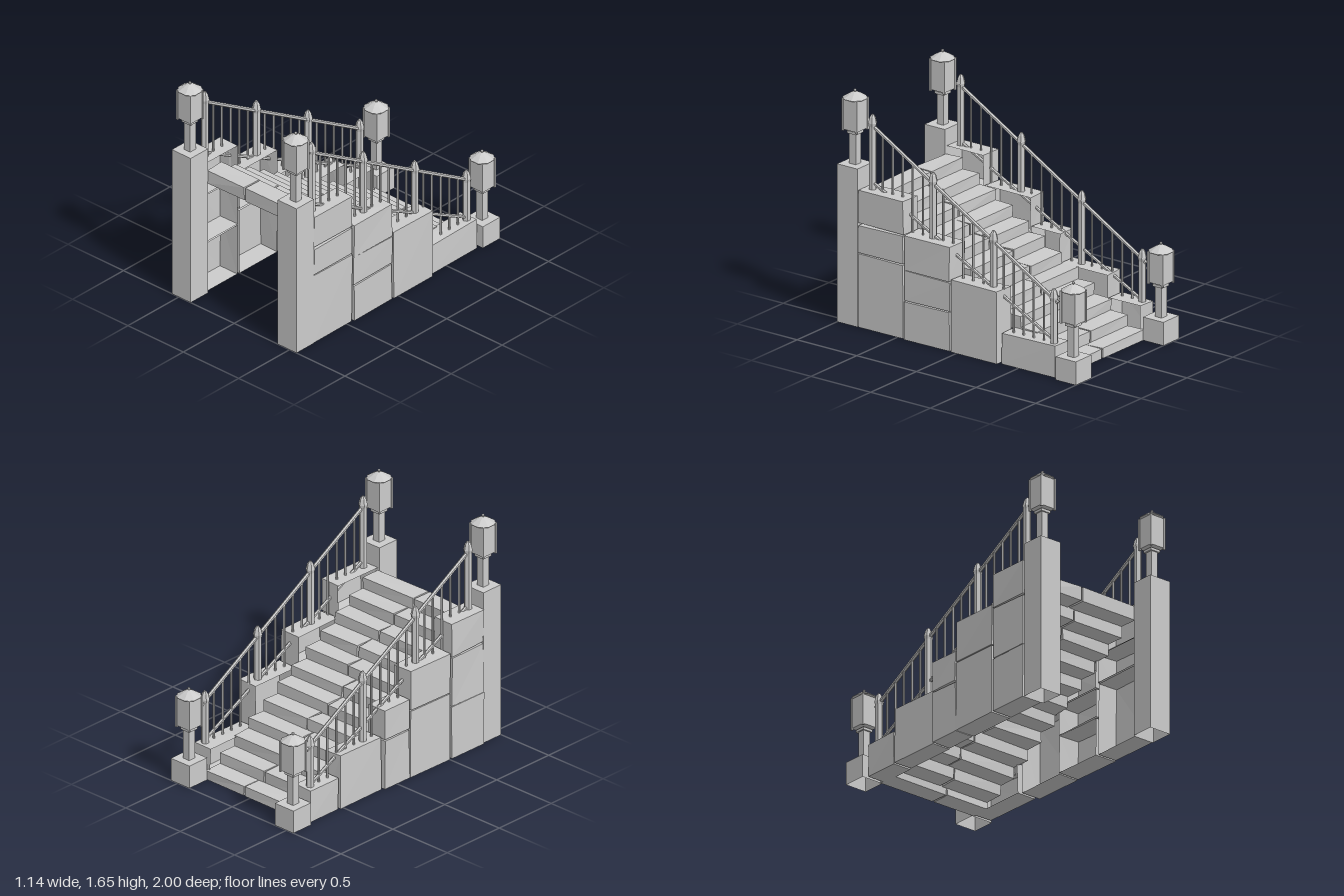
import * as THREE from 'three';

const mat = new THREE.MeshStandardMaterial({ color: 0xcccccc, flatShading: true, side: THREE.DoubleSide });

let seed = 7;
const rand = () => ((seed = (seed * 16807) % 2147483647) / 2147483647) * 2 - 1;

function add(parent, geo, name, x = 0, y = 0, z = 0) {
  const m = new THREE.Mesh(geo, mat);
  m.name = name;
  m.position.set(x, y, z);
  parent.add(m);
  return m;
}

// Box from min/max corners; each corner is nudged a little, one face may be left open.
// Face order: 0 +x, 1 -x, 2 +y, 3 -y, 4 +z, 5 -z
function stone(parent, name, [x0, x1], [y0, y1], [z0, z1], jitter = 0, open = -1) {
  const geo = new THREE.BoxGeometry(x1 - x0, y1 - y0, z1 - z0);
  const offsets = Array.from({ length: 8 }, () => [rand() * jitter, rand() * jitter, rand() * jitter]);
  const p = geo.attributes.position;
  for (let i = 0; i < p.count; i++) {
    const x = p.getX(i), y = p.getY(i), z = p.getZ(i);
    const o = offsets[(x > 0 ? 1 : 0) + (y > 0 ? 2 : 0) + (z > 0 ? 4 : 0)];
    const lift = y < 0 && y0 === 0 ? 0 : o[1];
    p.setXYZ(i, x + o[0], y + lift, z + o[2]);
  }
  if (open >= 0) geo.setIndex([...geo.index.array].filter((_, i) => Math.floor(i / 6) !== open));
  geo.computeVertexNormals();
  return add(parent, geo, name, (x0 + x1) / 2, (y0 + y1) / 2, (z0 + z1) / 2);
}

// Round bar between two points
function bar(parent, name, a, b, radius, sides = 6) {
  const geo = new THREE.CylinderGeometry(radius, radius, a.distanceTo(b), sides);
  const m = add(parent, geo, name);
  m.position.copy(a).lerp(b, 0.5);
  m.quaternion.setFromUnitVectors(new THREE.Vector3(0, 1, 0), b.clone().sub(a).normalize());
  return m;
}

const lathe = (pts, sides, phase = 0) =>
  new THREE.LatheGeometry(pts.map(([r, y]) => new THREE.Vector2(r, y)), sides, phase);

// Square prism with cut corners, standing on y = 0
function chamferedPrism(half, cut, height) {
  const c = half - cut;
  const s = new THREE.Shape([[half, -c], [half, c], [c, half], [-c, half], [-half, c], [-half, -c], [-c, -half], [c, -half]]
    .map(([x, y]) => new THREE.Vector2(x, y)));
  return new THREE.ExtrudeGeometry(s, { depth: height, bevelEnabled: false }).rotateX(-Math.PI / 2);
}

function lantern() {
  const g = new THREE.Group();
  g.name = 'lantern';
  add(g, new THREE.BoxGeometry(0.055, 0.22, 0.055), 'lanternShaft', 0, 0.11, 0);
  add(g, new THREE.BoxGeometry(0.078, 0.018, 0.078), 'lanternCollar', 0, 0.224, 0);
  add(g, chamferedPrism(0.06, 0.006, 0.215), 'lanternBody', 0, 0.245, 0);
  for (const sx of [-1, 1]) for (const sz of [-1, 1])
    add(g, new THREE.BoxGeometry(0.014, 0.23, 0.014), 'lanternCornerStrip', sx * 0.058, 0.35, sz * 0.058);
  add(g, lathe([[0, 0.455], [0.086, 0.462], [0.086, 0.466], [0.045, 0.492], [0.014, 0.508], [0, 0.51]], 8, Math.PI / 8), 'lanternRoof');
  add(g, new THREE.SphereGeometry(0.011, 8, 6), 'lanternFinial', 0, 0.517, 0);
  return g;
}

// Wall columns: side, inner and outer |x|, z range, heights of the stone joints
const columns = [
  [1, 0.405, 0.56, 0.45, 0.825, [0, 0.53, 0.735, 0.97]],
  [1, 0.395, 0.563, 0.06, 0.437, [0, 0.28, 0.495, 0.74]],
  [1, 0.41, 0.563, -0.34, 0.045, [0, 0.51]],
  [1, 0.388, 0.536, -0.805, -0.36, [0, 0.22]],
  [-1, 0.41, 0.57, 0.52, 0.825, [0, 0.39, 0.76, 1.0]],
  [-1, 0.41, 0.566, 0.13, 0.505, [0, 0.5, 0.79]],
  [-1, 0.41, 0.563, -0.115, 0.12, [0, 0.37, 0.585]],
  [-1, 0.4, 0.543, -0.525, -0.13, [0, 0.39]],
  [-1, 0.395, 0.538, -0.805, -0.54, [0, 0.235]],
];
const wallTop = (side, z) => {
  const near = columns.filter(c => c[0] === side)
    .sort((a, b) => Math.abs((a[3] + a[4]) / 2 - z) - (a[4] - a[3]) / 2 - Math.abs((b[3] + b[4]) / 2 - z) + (b[4] - b[3]) / 2)[0];
  return near[5][near[5].length - 1];
};

function railing(side) {
  const g = new THREE.Group();
  g.name = side > 0 ? 'leftRailing' : 'rightRailing';
  const x = side * 0.482;
  const at = (y, z) => new THREE.Vector3(x, y, z);
  const railY = z => 0.975 + 0.583 * z;
  bar(g, 'handrail', at(railY(-0.79), -0.79), at(railY(0.79), 0.79), 0.0135);
  bar(g, 'lowerRail', at(0.235, -0.77), at(1.02, 0.76), 0.012);
  for (let i = 0; i < 4; i++) {
    const z = 0.765 - i * 0.507, base = wallTop(side, z) - 0.02, top = 1.5 - i * 0.298;
    // Newel post with a pointed, slightly swollen cap
    add(g, lathe([[0, base], [0.027, base], [0.027, top - 0.085], [0.032, top - 0.06], [0.022, top - 0.02], [0.009, top], [0, top]], 6),
      'newelPost', x, 0, z);
    if (i < 3) for (let k = 1; k <= 5; k++) {
      const bz = z - k * 0.507 / 6;
      bar(g, 'baluster', at(wallTop(side, bz) - 0.01, bz), at(railY(bz), bz), 0.0085);
    }
  }
  return g;
}

export function createModel() {
  const model = new THREE.Group();
  model.name = 'stoneStaircase';

  // Steps, each of two slabs with a wandering joint
  const steps = new THREE.Group();
  steps.name = 'steps';
  const joints = [0.05, 0, -0.06, -0.06, 0, -0.06, -0.06, 0.02, 0.06, 0, -0.01, -0.06];
  joints.forEach((j, i) => {
    const y = [Math.max(0, 0.08 * i - 0.03), 0.08 * i + 0.07];
    const z = [-0.83 + i * 0.138, -0.83 + (i + 1) * 0.138 + 0.004];
    stone(steps, 'stepSlab', [-0.405, j - 0.005], y, z, 0.004);
    stone(steps, 'stepSlab', [j + 0.005, 0.405], y, z, 0.004);
  });
  model.add(steps);

  // Side walls of stacked blocks, hollow toward the inside
  const walls = new THREE.Group();
  walls.name = 'sideWalls';
  for (const [side, inner, outer, z0, z1, ys] of columns)
    for (let k = 0; k + 1 < ys.length; k++) {
      const xs = side > 0 ? [inner, outer] : [-outer, -inner];
      stone(walls, 'wallBlock', xs, [ys[k], ys[k + 1] - (k + 2 < ys.length ? 0.01 : 0)], [z0, z1], 0.004, side > 0 ? 1 : 0);
    }
  model.add(walls);

  for (const side of [1, -1]) {
    model.add(railing(side));
    // End pillars, open underneath, with a lantern on each
    for (const [z, height] of [[0.915, 1.12], [-0.915, 0.165]]) {
      const x = side * 0.478;
      stone(model, 'pillar', [x - 0.085, x + 0.085], [0, height], [z - 0.085, z + 0.085], 0, 3);
      const l = lantern();
      l.position.set(x, height, z);
      model.add(l);
    }
  }
  return model;
}
